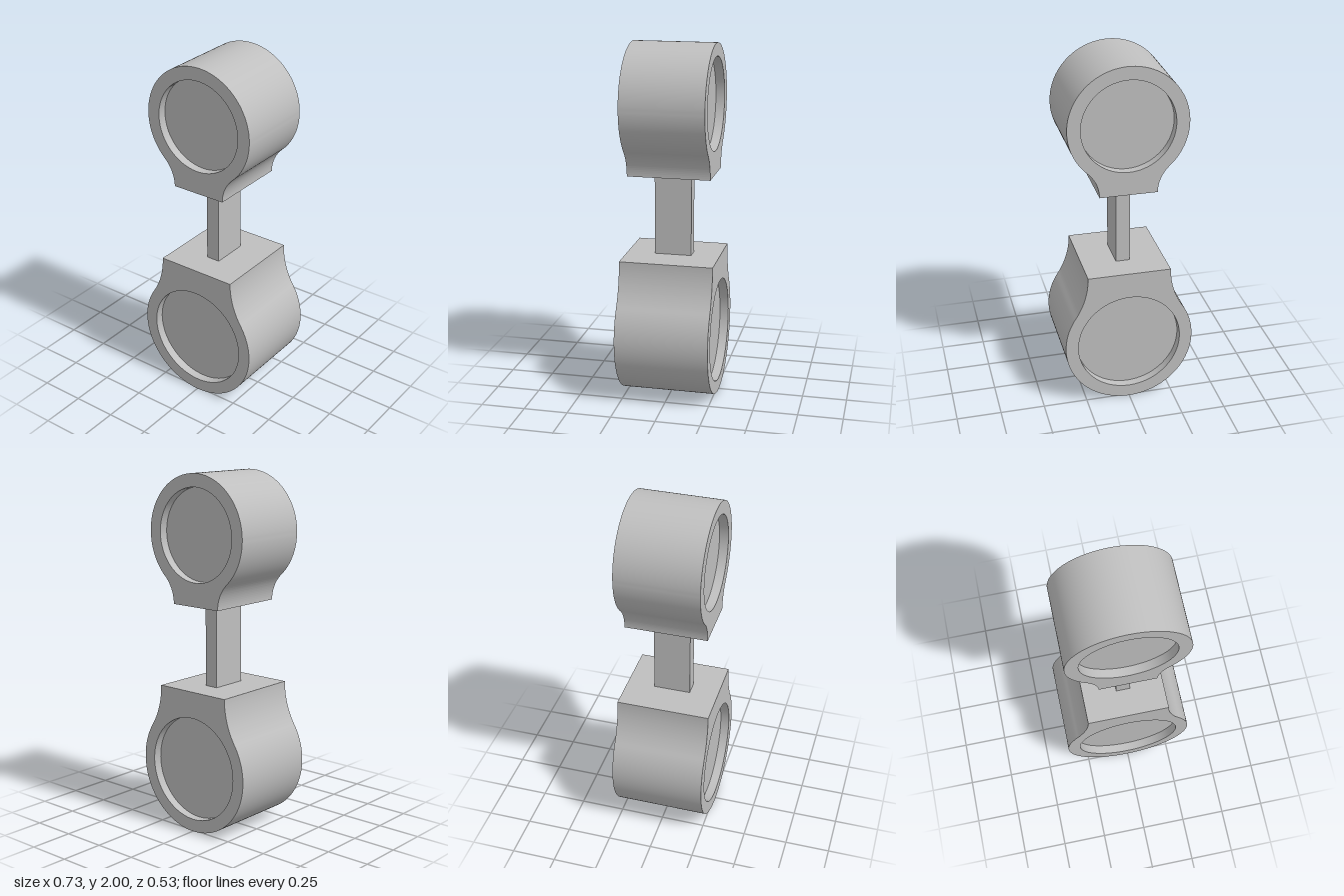
import * as THREE from 'three';
import { toCreasedNormals } from 'three/addons/utils/BufferGeometryUtils.js';

const RECESS = 0.05;

// Round end block: a circle blended by concave fillets into a flat neck.
// dir = +1 puts the neck above the circle, -1 below it.
function createEnd(name, { cy, radius, bore, neckHalf, neckY, halfDepth }, material) {
  const group = new THREE.Group();
  group.name = name;
  const dir = Math.sign(neckY - cy);
  const h = Math.abs(neckY - cy);

  // fillet radius that is tangent to the circle and vertical at the neck
  const fillet = (neckHalf ** 2 + h ** 2 - radius ** 2) / (2 * (radius - neckHalf));
  const fx = neckHalf + fillet;
  const a = Math.atan2(h, fx);

  // outline with the neck up, mirrored for a neck that points down
  const outline = new THREE.Shape();
  outline.moveTo(-neckHalf, h);
  outline.absarc(-fx, h, fillet, 0, -a, true);
  outline.absarc(0, 0, radius, Math.PI - a, Math.PI * 2 + a, false);
  outline.absarc(fx, h, fillet, Math.PI + a, Math.PI, true);
  outline.closePath();
  const hole = new THREE.Path();
  hole.absarc(0, 0, bore, 0, Math.PI * 2, true);
  outline.holes.push(hole);

  const body = new THREE.ExtrudeGeometry(outline, {
    depth: halfDepth * 2, bevelEnabled: false, curveSegments: 48,
  });
  body.translate(0, 0, -halfDepth);
  if (dir < 0) body.rotateZ(Math.PI);
  const housing = new THREE.Mesh(toCreasedNormals(body, Math.PI / 6), material);
  housing.name = name + 'Housing';

  // plug that forms the recessed floor on both faces
  const plug = new THREE.CylinderGeometry(bore + 0.01, bore + 0.01, 2 * (halfDepth - RECESS), 64);
  plug.rotateX(Math.PI / 2);
  const floor = new THREE.Mesh(plug, material);
  floor.name = name + 'RecessFloor';

  group.add(housing, floor);
  group.position.y = cy;
  return group;
}

export function createModel() {
  const model = new THREE.Group();
  model.name = 'connectingRod';
  const metal = new THREE.MeshStandardMaterial({ color: 0xbfbfbf });
  metal.name = 'grey metal';

  const bigEnd = createEnd('bigEnd', {
    cy: 0.367, radius: 0.367, bore: 0.295, neckHalf: 0.235, neckY: 0.812, halfDepth: 0.263,
  }, metal);
  const smallEnd = createEnd('smallEnd', {
    cy: 1.67, radius: 0.33, bore: 0.257, neckHalf: 0.16, neckY: 1.28, halfDepth: 0.232,
  }, metal);

  // flat bar between the two necks
  const shank = new THREE.Mesh(new THREE.BoxGeometry(0.08, 0.468, 0.208), metal);
  shank.name = 'shank';
  shank.position.y = 1.046;

  model.add(bigEnd, smallEnd, shank);
  return model;
}
